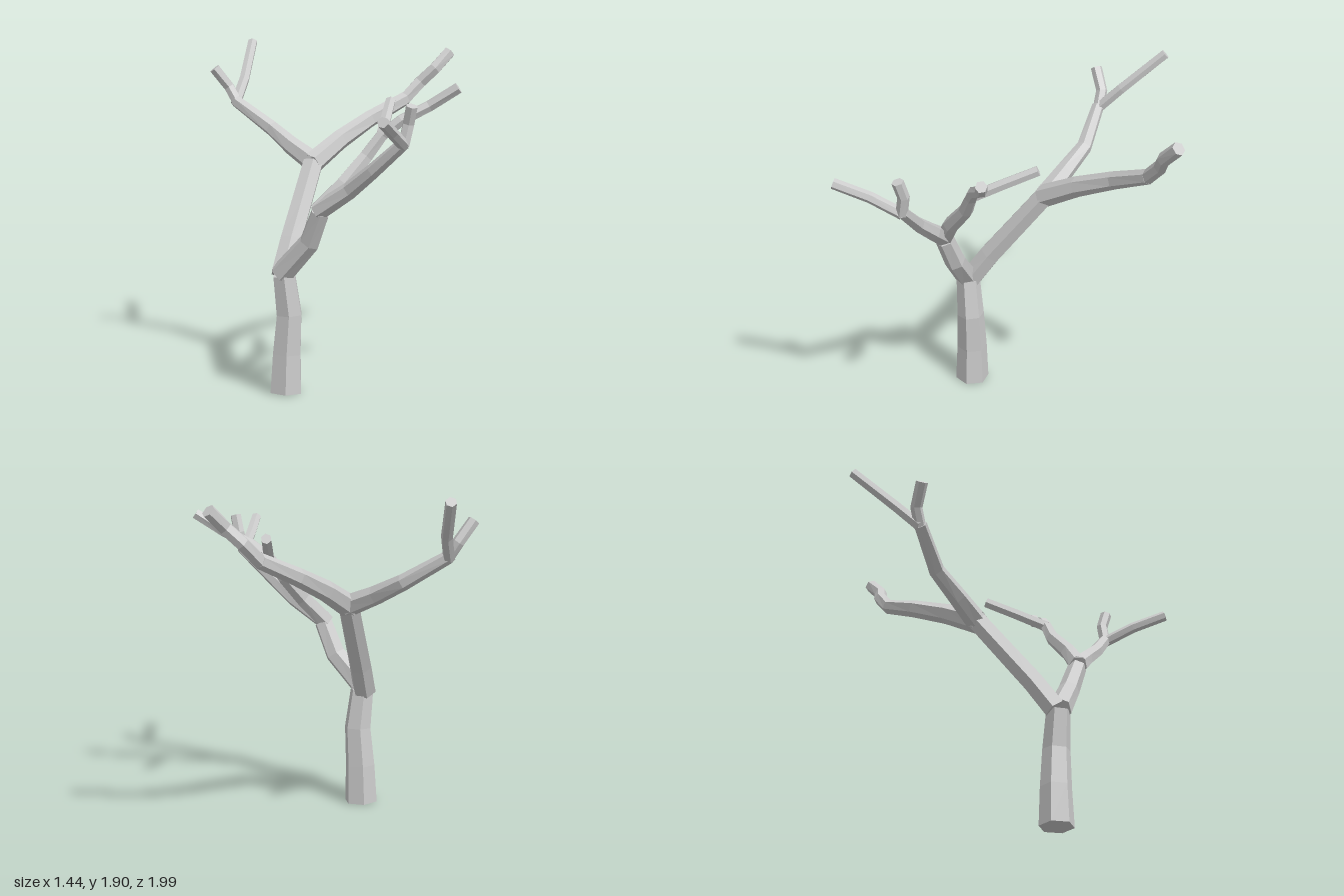
import * as THREE from 'three';

const material = new THREE.MeshStandardMaterial({ color: 0xcccccc, flatShading: true });
const UP = new THREE.Vector3(0, 1, 0);

// Six-sided limb: a capped cylinder whose rings are carried along the points, tapering from r0 to r1
function limb(name, r0, r1, points) {
  const path = points.map((p) => new THREE.Vector3(...p));
  const n = path.length - 1;
  const frames = path.map((p, i) => {
    const before = path[Math.max(i - 1, 0)];
    const after = path[Math.min(i + 1, n)];
    const a = p.clone().sub(before).normalize();
    const b = after.clone().sub(p).normalize();
    return new THREE.Quaternion().setFromUnitVectors(UP, a.add(b).normalize());
  });
  const indexed = new THREE.CylinderGeometry(1, 1, n, 6, n);
  const pos = indexed.attributes.position;
  const v = new THREE.Vector3();
  for (let k = 0; k < pos.count; k++) {
    v.fromBufferAttribute(pos, k);
    const i = Math.round(v.y + n / 2);
    v.y = 0;
    v.multiplyScalar(r0 + (r1 - r0) * (i / n)).applyQuaternion(frames[i]).add(path[i]);
    pos.setXYZ(k, v.x, v.y, v.z);
  }
  const geometry = indexed.toNonIndexed();
  geometry.computeVertexNormals();
  const mesh = new THREE.Mesh(geometry, material);
  mesh.name = name;
  return mesh;
}

export function createModel() {
  const tree = new THREE.Group();
  tree.name = 'bareTree';

  tree.add(
    limb('trunk', 0.097, 0.068, [
      [-0.268, 0, 0.19], [-0.262, 0.22, 0.19], [-0.248, 0.44, 0.198], [-0.274, 0.66, 0.206],
    ]),

    // Rear bough and its two branches
    limb('rearBough', 0.068, 0.062, [
      [-0.285, 0.66, 0.19], [-0.24, 0.83, 0.08], [-0.185, 1.01, -0.05], [-0.12, 1.225, -0.205],
    ]),
    limb('rearRightBranch', 0.062, 0.036, [
      [-0.11, 1.23, -0.21], [-0.24, 1.31, -0.345], [-0.36, 1.4, -0.485], [-0.575, 1.55, -0.61],
    ]),
    limb('rearRightShortTwig', 0.033, 0.033, [
      [-0.565, 1.54, -0.61], [-0.615, 1.63, -0.64], [-0.7, 1.74, -0.625],
    ]),
    limb('rearRightLongTwig', 0.033, 0.03, [
      [-0.575, 1.54, -0.61], [-0.53, 1.67, -0.735], [-0.49, 1.88, -0.975],
    ]),
    limb('rearLeftBranch', 0.065, 0.042, [
      [-0.125, 1.225, -0.2], [0.035, 1.345, -0.36], [0.21, 1.45, -0.52], [0.425, 1.56, -0.65],
    ]),
    limb('rearLeftTwig', 0.04, 0.038, [
      [0.415, 1.55, -0.645], [0.515, 1.655, -0.69], [0.6, 1.735, -0.68], [0.69, 1.83, -0.73],
    ]),

    // Front bough and its two branches
    limb('frontBough', 0.066, 0.053, [
      [-0.29, 0.665, 0.21], [-0.135, 0.855, 0.3], [-0.075, 1.03, 0.365],
    ]),
    limb('frontBranch', 0.053, 0.035, [
      [-0.09, 1.035, 0.365], [0.08, 1.16, 0.45], [0.2, 1.275, 0.545], [0.36, 1.435, 0.645],
    ]),
    limb('frontLongTwig', 0.032, 0.03, [
      [0.355, 1.42, 0.64], [0.29, 1.5, 0.8], [0.235, 1.57, 0.985],
    ]),
    limb('frontShortTwig', 0.033, 0.033, [
      [0.355, 1.42, 0.645], [0.38, 1.53, 0.635], [0.395, 1.625, 0.665],
    ]),
    limb('middleBranch', 0.053, 0.035, [
      [-0.09, 1.035, 0.365], [0.05, 1.18, 0.345], [0.17, 1.32, 0.28], [0.26, 1.44, 0.265],
    ]),
    limb('middleLeftTwig', 0.035, 0.032, [
      [0.25, 1.43, 0.265], [0.36, 1.515, 0.265], [0.51, 1.59, 0.25], [0.665, 1.69, 0.275],
    ]),
    limb('middleRearTwig', 0.033, 0.03, [
      [0.255, 1.435, 0.27], [0.285, 1.515, 0.09], [0.315, 1.59, -0.085],
    ]),
  );
  return tree;
}
